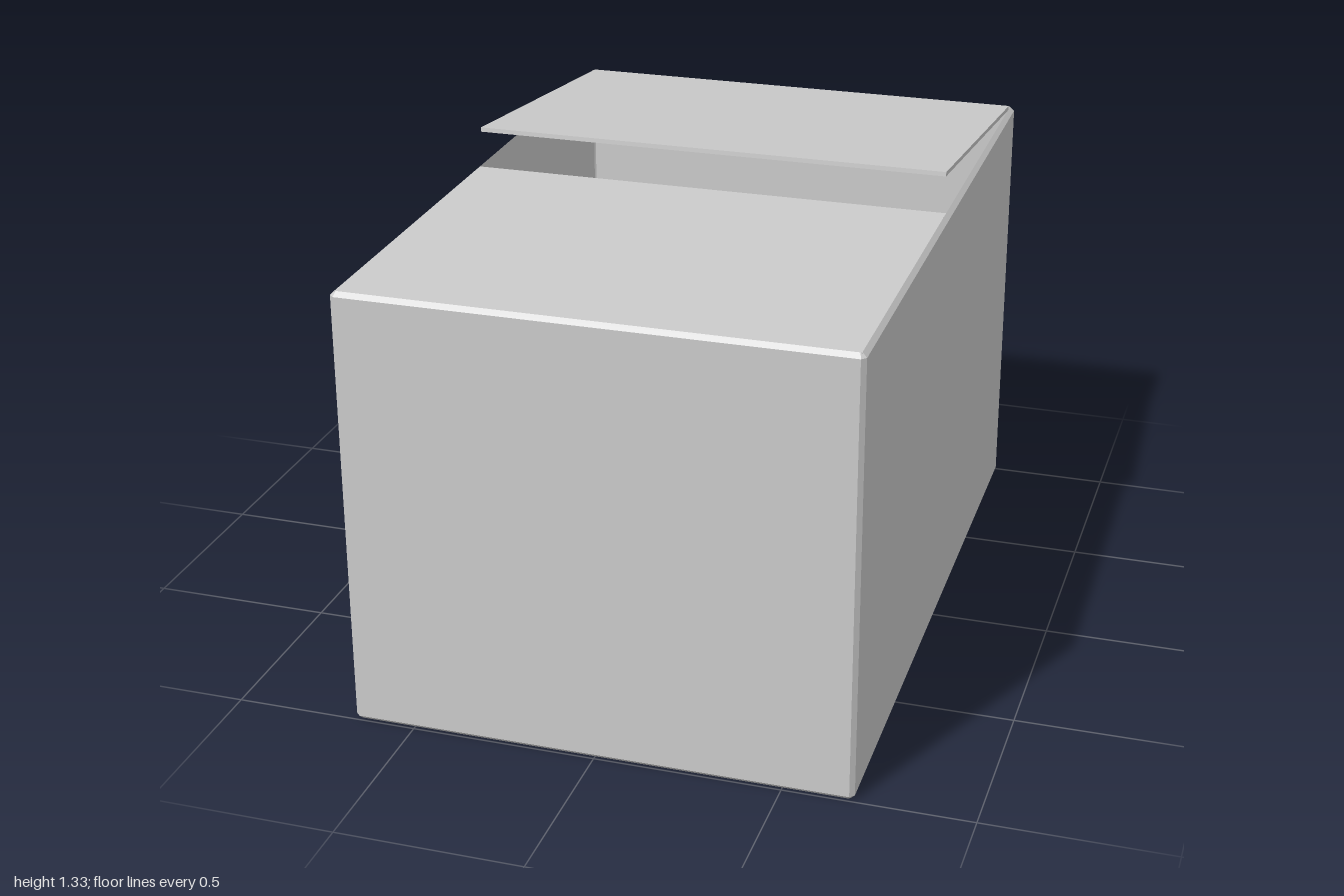
import * as THREE from 'three';

const W = 0.677, D = 1, H = 1.213, T = 0.012; // half width, half depth, height, board thickness
const SKEW = 0.011; // the box leans slightly out of square

// Chamfered rectangle at height y, as a ring of 8 corners
function ring([hx, hz, y, c]) {
  return [
    [hx, -hz + c], [hx, hz - c], [hx - c, hz], [-hx + c, hz],
    [-hx, hz - c], [-hx, -hz + c], [-hx + c, -hz], [hx - c, -hz],
  ].map(([x, z]) => [x, y, z]);
}

// Skin over successive rings
function loft(rings) {
  const pos = [];
  for (let i = 0; i < rings.length - 1; i++) {
    for (let j = 0; j < 8; j++) {
      const k = (j + 1) % 8;
      const a = rings[i][j], b = rings[i][k], c = rings[i + 1][k], d = rings[i + 1][j];
      pos.push(...a, ...d, ...b, ...b, ...d, ...c);
    }
  }
  const geo = new THREE.BufferGeometry();
  geo.setAttribute('position', new THREE.Float32BufferAttribute(pos, 3));
  return geo;
}

function skew(geo) {
  geo.applyMatrix4(new THREE.Matrix4().set(1, 0, SKEW, 0, 0, 1, 0, 0, 0, 0, 1, 0, 0, 0, 0, 1));
  geo.computeVertexNormals();
  return geo;
}

export function createModel() {
  const group = new THREE.Group();
  const material = new THREE.MeshStandardMaterial({ color: 0xcccccc, flatShading: true });
  const add = (name, geo) => {
    const mesh = new THREE.Mesh(skew(geo), material);
    mesh.name = name;
    group.add(mesh);
  };

  // Hollow carton: underside, outer walls, rim, inner walls, inner floor
  add('carton', loft([
    [0, 0, 0, 0],
    [W - T, D - T, 0, 0.004],
    [W, D, T, T],
    [W, D, H - T, T],
    [W - T, D - T, H, 0.004],
    [W - T, D - T, T, 0.004],
    [0, 0, T, 0],
  ].map(ring)));

  // Closed front flap
  const flapWidth = 2 * (W - T);
  add('frontFlap', new THREE.BoxGeometry(flapWidth, T, D - T).translate(0, H - T / 2, (D - T) / 2));

  // Back flap, hinged on the back rim and slightly raised
  const length = 0.99;
  const flap = new THREE.BoxGeometry(flapWidth - 0.01, T, length).translate(0, T / 2, length / 2);
  flap.rotateX(-Math.asin(0.112 / length)).translate(0, H - 0.011, -D + T);
  add('backFlap', flap);

  return group;
}
